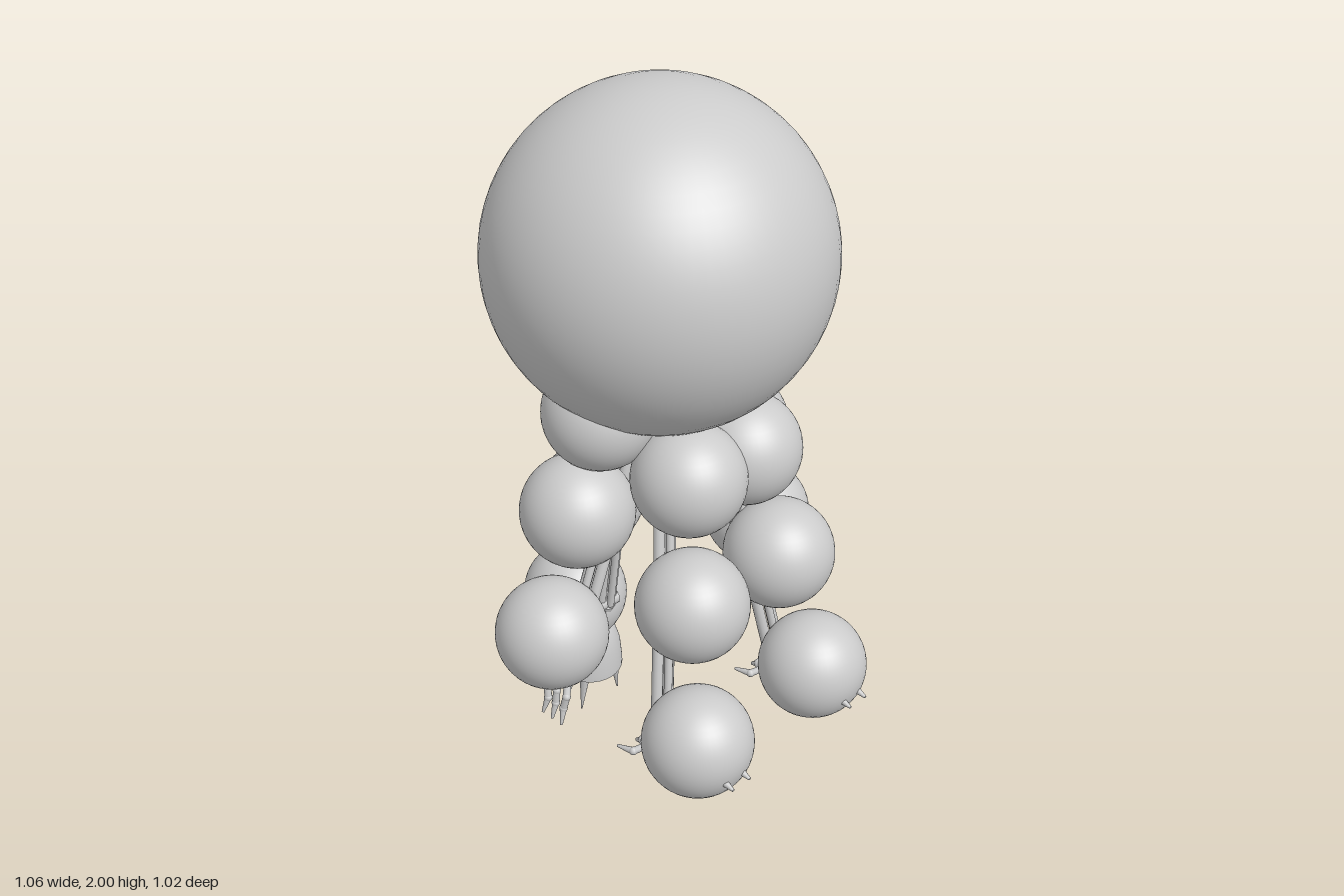
import * as THREE from 'three';

const material = new THREE.MeshStandardMaterial({ color: 0xcccccc });
const openMaterial = new THREE.MeshStandardMaterial({ color: 0xcccccc, side: THREE.DoubleSide });
const V = (x, y, z) => new THREE.Vector3(x, y, z);
const UP = V(0, 1, 0);

function add(parent, name, geometry, position, mat = material) {
  const mesh = new THREE.Mesh(geometry, mat);
  mesh.name = name;
  if (position) mesh.position.copy(position);
  parent.add(mesh);
  return mesh;
}

const ball = (parent, name, p, r, seg = 32) =>
  add(parent, name, new THREE.SphereGeometry(r, seg, seg / 2), p);

// Straight or tapered bar from a to b
function bar(parent, name, a, b, r0, r1 = r0) {
  const d = b.clone().sub(a);
  const mesh = add(parent, name, new THREE.CylinderGeometry(r1, r0, d.length(), 12), a.clone().lerp(b, 0.5));
  mesh.quaternion.setFromUnitVectors(UP, d.normalize());
}

// Jointed finger: knuckle, two phalanges and a pointed tip
function finger(parent, points, r = 0.01) {
  const g = new THREE.Group();
  g.name = 'finger';
  const last = points.length - 1;
  for (let i = 0; i < last; i++) {
    ball(g, 'knuckle', points[i], r * 1.15, 12);
    bar(g, 'phalanx', points[i], points[i + 1], r, i === last - 1 ? r * 0.4 : r);
  }
  parent.add(g);
}

// Limb made of twin bars, a back strut and hinge pins at each joint
function limb(parent, joints, across) {
  const side = across.clone().normalize();
  const pin = (p, w) => bar(parent, 'hingePin',
    p.clone().addScaledVector(side, -w), p.clone().addScaledVector(side, w), 0.022);
  for (let i = 0; i < joints.length - 1; i++) {
    const [a, b] = [joints[i], joints[i + 1]];
    const back = b.clone().sub(a).cross(side).normalize().multiplyScalar(0.02);
    for (const s of [-1, 1]) {
      const o = side.clone().multiplyScalar(s * 0.02);
      bar(parent, 'limbBar', a.clone().add(o), b.clone().add(o), 0.015);
    }
    bar(parent, 'limbStrut', a.clone().add(back), b.clone().add(back), 0.011);
  }
  joints.forEach((p) => pin(p, 0.036));
}

// Arm with three round pads along its jointed limb
function arm(name, pads, joints, across) {
  const g = new THREE.Group();
  g.name = name;
  pads.forEach((p, i) => {
    ball(g, 'roundPad', p, 0.147, 48);
    // Short mount between pad and limb
    bar(g, 'padMount', p, joints[i], 0.02);
  });
  limb(g, joints, across);
  return g;
}

function frontArm(s) {
  const g = arm('frontArm',
    [V(0.1 * s, 1.055, 0.19), V(0.16 * s, 0.735, 0.265), V(0.22 * s, 0.372, 0.348)],
    [V(0.1 * s, 1.0, 0.105), V(0.16 * s, 0.68, 0.165), V(0.22 * s, 0.32, 0.215)], V(1, 0, 0));
  // Hand reaching backwards
  const x = 0.225 * s;
  ball(g, 'wrist', V(x, 0.3, 0.215), 0.03, 16);
  bar(g, 'palm', V(x, 0.3, 0.21), V(x, 0.26, 0.175), 0.024);
  finger(g, [V(x, 0.265, 0.18), V(x, 0.25, 0.15), V(x, 0.235, 0.125)], 0.012);
  for (const t of [-1, 1]) {
    finger(g, [V(x + t * 0.02, 0.28, 0.2), V(x + t * 0.06, 0.265, 0.175), V(x + t * 0.07, 0.258, 0.125)]);
    // Small spikes on the front of the lowest pad
    bar(g, 'padSpike', V(x + t * 0.03, 0.338, 0.47), V(x + t * 0.03, 0.33, 0.51), 0.012, 0.004);
  }
  return g;
}

function sideArm(s) {
  const z = -0.02;
  const g = arm('sideArm',
    [V(0.2 * s, 1.2, z), V(0.283 * s, 0.945, z), V(0.383 * s, 0.61, z)],
    [V(0.1 * s, 1.13, z), V(0.18 * s, 0.85, z), V(0.31 * s, 0.52, z)], V(0, 0, 1));
  // Hanging hand
  bar(g, 'palm', V(0.31 * s, 0.52, z), V(0.355 * s, 0.45, z), 0.024);
  for (const t of [-1, 0, 1]) {
    finger(g, [V(0.35 * s, 0.46, z + t * 0.02), V(0.375 * s, 0.41, z + t * 0.038),
      V(0.38 * s, 0.37, z + t * 0.03), V(0.395 * s, 0.325, z + t * 0.036)]);
  }
  finger(g, [V(0.34 * s, 0.46, z), V(0.335 * s, 0.4, z), V(0.35 * s, 0.35, z)]);
  return g;
}

function backArm() {
  const g = arm('backArm',
    [V(0, 1.055, -0.21), V(0, 0.722, -0.283), V(0, 0.347, -0.361)],
    [V(0, 0.99, -0.145), V(0, 0.66, -0.195), V(0, 0.38, -0.235)], V(1, 0, 0));
  bar(g, 'wrist', V(0, 0.38, -0.235), V(0, 0.27, -0.28), 0.03);
  // Flared hood, open below
  const hood = new THREE.Group();
  hood.name = 'clawHood';
  const profile = [[0.1, 0], [0.098, 0.02], [0.088, 0.08], [0.07, 0.13], [0.045, 0.165], [0.001, 0.18]]
    .map(([r, y]) => new THREE.Vector2(r, y));
  add(hood, 'hoodShell', new THREE.LatheGeometry(profile, 32), null, openMaterial);
  // Three claws
  for (const a of [Math.PI / 4, Math.PI * 3 / 4, Math.PI * 1.5]) {
    const c = Math.cos(a), d = Math.sin(a);
    bar(hood, 'claw', V(c * 0.07, 0.06, d * 0.06), V(c * 0.1, -0.115, d * 0.085), 0.022, 0.002);
  }
  hood.position.set(0, 0.125, -0.315);
  hood.rotation.x = 0.12;
  g.add(hood);
  return g;
}

export function createModel() {
  const model = new THREE.Group();
  model.name = 'balloonCreature';
  // Large round head
  ball(model, 'head', V(0, 1.562, -0.014), 0.438, 64);
  // Hub joining the limbs under the head
  bar(model, 'hub', V(0, 1.2, -0.015), V(0, 1.06, -0.015), 0.1, 0.07);
  for (const s of [-1, 1]) {
    model.add(frontArm(s), sideArm(s));
    // Shoulder links
    bar(model, 'shoulderLink', V(0, 1.12, -0.015), V(0.1 * s, 1.0, 0.105), 0.022);
    bar(model, 'shoulderLink', V(0, 1.15, -0.02), V(0.1 * s, 1.13, -0.02), 0.022);
  }
  bar(model, 'shoulderLink', V(0, 1.12, -0.015), V(0, 0.99, -0.145), 0.022);
  model.add(backArm());
  return model;
}
